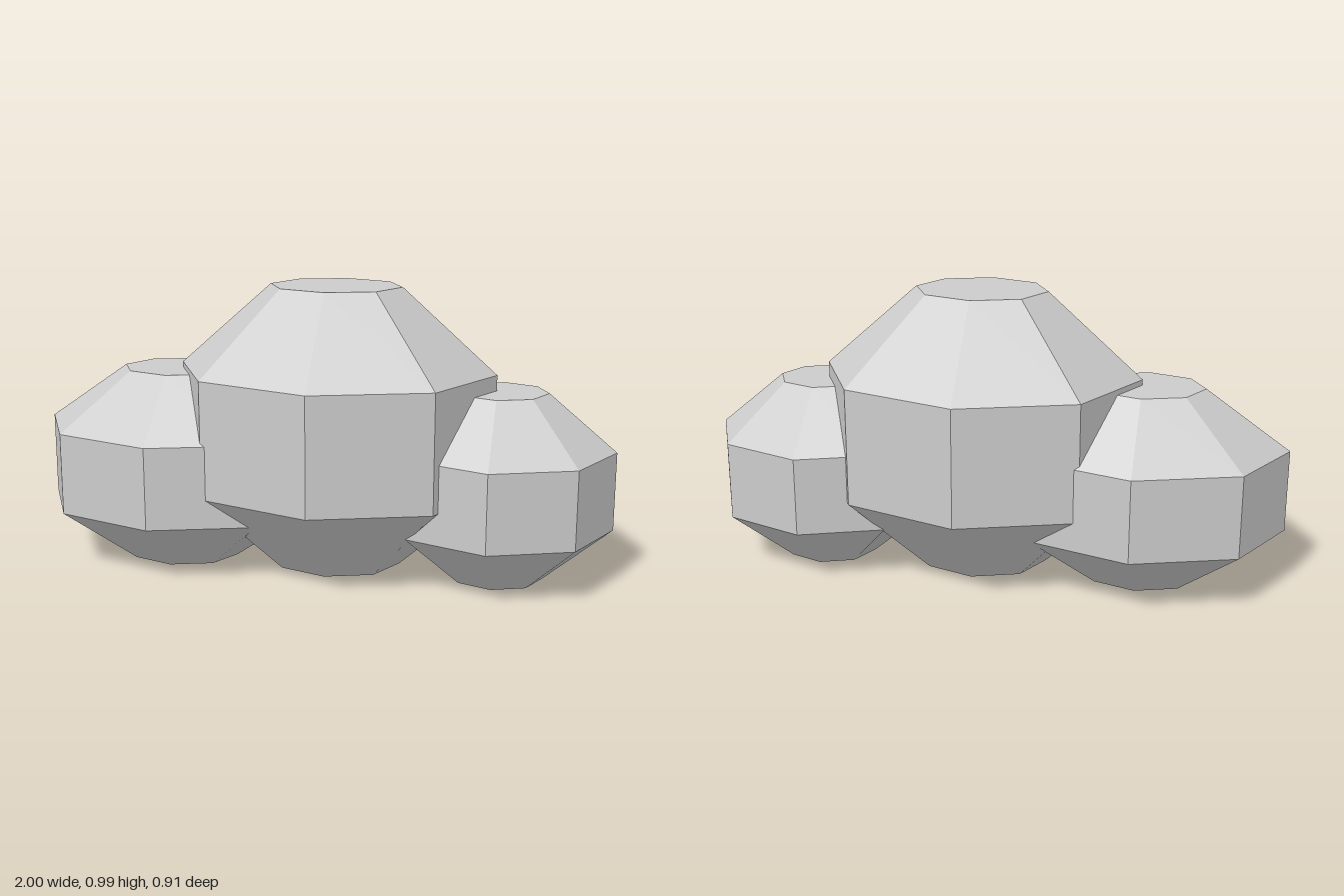
import * as THREE from 'three';

const cloudGrey = new THREE.MeshStandardMaterial({ color: 0xcccccc, flatShading: true });
cloudGrey.name = 'cloudGrey';

// Faceted eight-sided puff: chamfered bottom, straight waist, chamfered top
function makePuff(name, x, rx, rz, [bottom, waistLow, waistHigh, top]) {
  const cap = 0.414; // cap radius relative to waist radius
  const profile = [
    [0, bottom], [cap, bottom], [1, waistLow],
    [1, waistHigh], [cap, top], [0, top],
  ].map(([r, y]) => new THREE.Vector2(r, y));
  const geometry = new THREE.LatheGeometry(profile, 8);
  geometry.scale(rx, 1, rz);
  const mesh = new THREE.Mesh(geometry, cloudGrey);
  mesh.name = name;
  mesh.position.x = x;
  return mesh;
}

export function createModel() {
  const cloud = new THREE.Group();
  cloud.name = 'cloud';
  cloud.add(
    makePuff('middlePuff', 0.047, 0.55, 0.453, [0.015, 0.3, 0.703, 0.988]),
    makePuff('rightPuff', -0.514, 0.486, 0.389, [0.004, 0.202, 0.485, 0.684]),
    makePuff('leftPuff', 0.61, 0.39, 0.357, [0, 0.191, 0.46, 0.65]),
  );
  return cloud;
}
